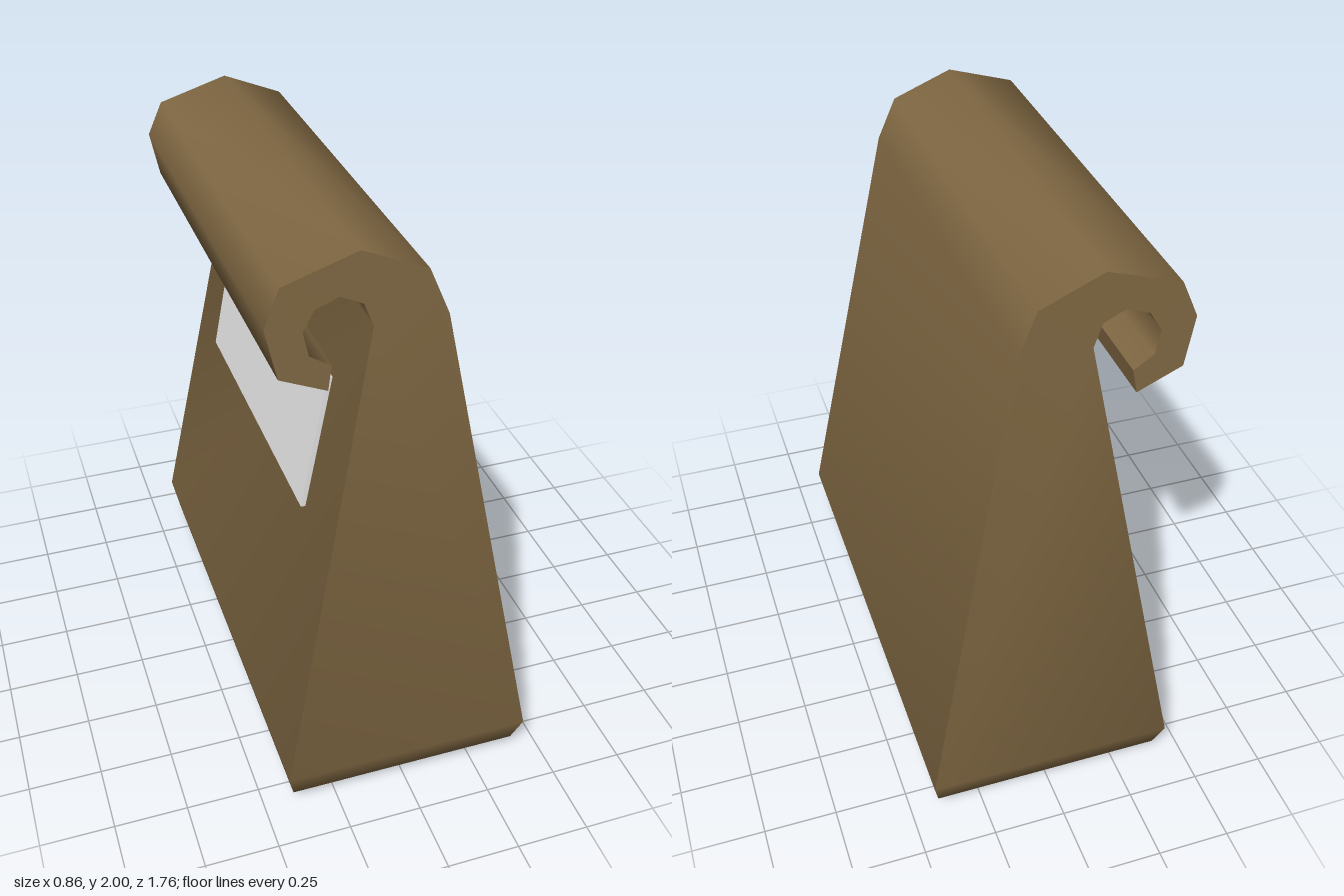
import * as THREE from 'three';
import { mergeGeometries, toCreasedNormals } from 'three/addons/utils/BufferGeometryUtils.js';

const paper = new THREE.MeshStandardMaterial({ color: 0x7f6742 });
paper.name = 'brown paper';
const white = new THREE.MeshStandardMaterial({ color: 0xeeeeee });
white.name = 'label white';
const dark = new THREE.MeshStandardMaterial({ color: 0x484848 });
dark.name = 'dark grey';

// Tapered side outline, ending in the rolled-over top
const outline = [
  [-0.423, 0.154], [0.428, 0.154], [0.119, 1.767], [0.058, 1.915], [-0.146, 2.0],
  [-0.381, 1.926], [-0.431, 1.809], [-0.397, 1.65], [-0.251, 1.589], [-0.238, 1.666],
  [-0.304, 1.708], [-0.32, 1.783], [-0.283, 1.846], [-0.209, 1.873], [-0.14, 1.841],
  [-0.111, 1.767],
];

// Half length of the bag narrows with height
const halfLength = (y) => 0.88 - 0.082 * (y - 0.154);

function upperBag() {
  const shape = new THREE.Shape(outline.map(([x, y]) => new THREE.Vector2(x, y)));
  const geo = new THREE.ExtrudeGeometry(shape, { depth: 1, bevelEnabled: false });
  const p = geo.attributes.position;
  for (let i = 0; i < p.count; i++) {
    p.setZ(i, (p.getZ(i) > 0.5 ? 1 : -1) * halfLength(p.getY(i)));
  }
  geo.deleteAttribute('normal');
  geo.deleteAttribute('uv');
  geo.clearGroups();
  return geo;
}

// Rounded base from rectangular rings: [y, left x, right x, half length]
function base() {
  const rings = [
    [0, -0.3, 0.305, 0.74], [0.048, -0.4, 0.405, 0.84], [0.154, -0.423, 0.428, 0.88],
  ].map(([y, l, r, z]) => [[l, y, z], [r, y, z], [r, y, -z], [l, y, -z]]);
  const pos = [];
  const quad = (a, b, c, d) => pos.push(...a, ...b, ...c, ...a, ...c, ...d);
  for (let k = 0; k < 2; k++) {
    for (let i = 0; i < 4; i++) {
      const j = (i + 1) % 4;
      quad(rings[k][i], rings[k][j], rings[k + 1][j], rings[k + 1][i]);
    }
  }
  const [a, b, c, d] = rings[0];
  quad(a, d, c, b);
  const geo = new THREE.BufferGeometry();
  geo.setAttribute('position', new THREE.Float32BufferAttribute(pos, 3));
  return geo;
}

function plate(name, material, thick, height, length, x, y, z) {
  const mesh = new THREE.Mesh(new THREE.BoxGeometry(thick, height, length), material);
  mesh.name = name;
  mesh.position.set(x, y, z);
  return mesh;
}

export function createModel() {
  const model = new THREE.Group();
  model.name = 'paperBag';

  const bag = new THREE.Mesh(toCreasedNormals(mergeGeometries([upperBag(), base()]), 1.05), paper);
  bag.name = 'bagBody';
  model.add(bag);

  // Label lying on the sloped wall under the roll
  const label = new THREE.Group();
  label.name = 'label';
  label.add(plate('labelCard', white, 0.016, 0.478, 1.09, -0.008, 0, 0));
  label.add(plate('labelStrip', dark, 0.006, 0.1, 0.63, -0.017, 0.138, -0.115));
  label.position.set(-0.21, 1.255, 0);
  label.rotation.z = -0.191;
  model.add(label);

  return model;
}
